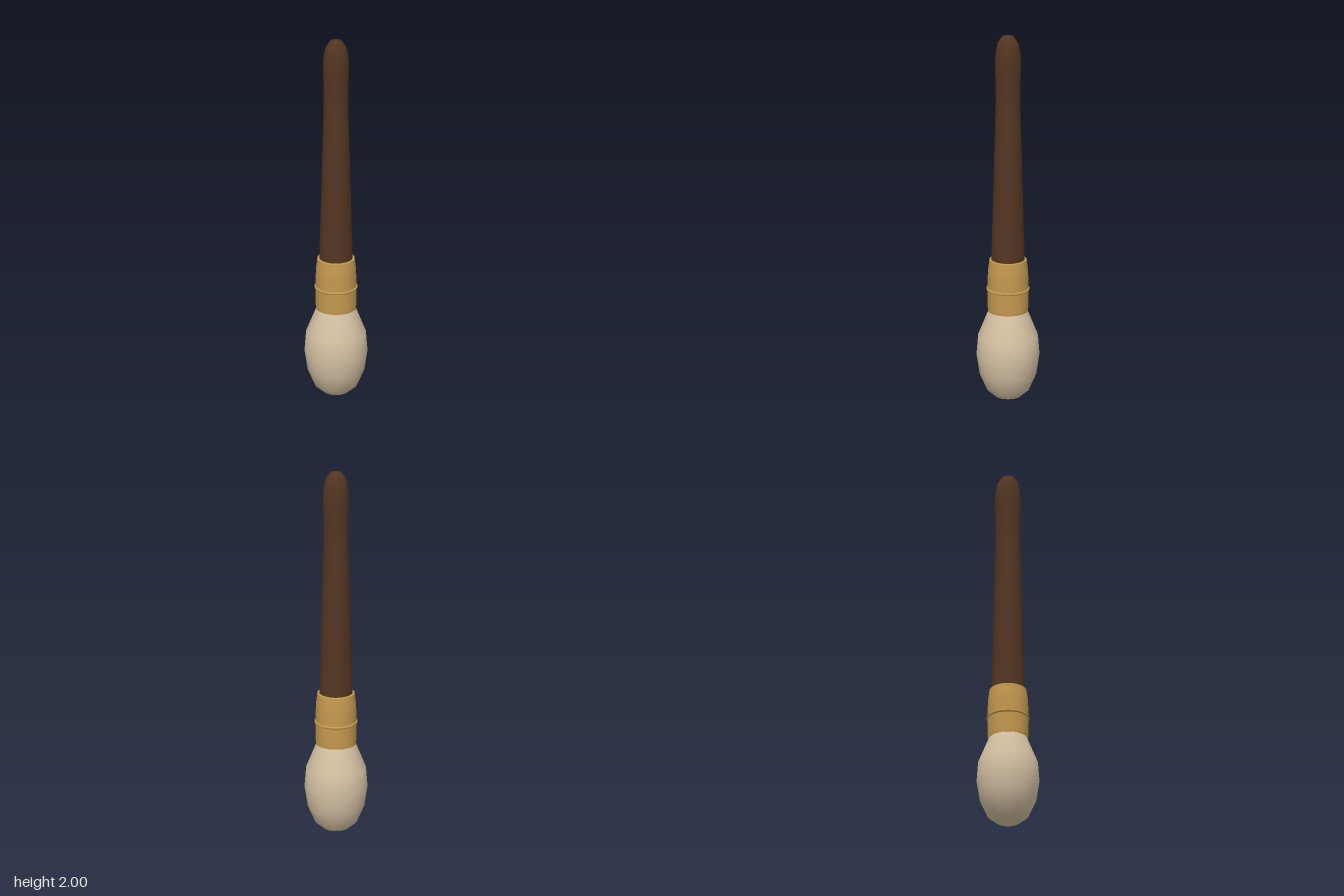
import * as THREE from 'three';

const SEGMENTS = 48;

// Revolves [radius, height] pairs, listed bottom to top, around the y axis
function turned(name, profile, material) {
  const points = profile.map(([r, y]) => new THREE.Vector2(r, y));
  const mesh = new THREE.Mesh(new THREE.LatheGeometry(points, SEGMENTS), material);
  mesh.name = name;
  return mesh;
}

export function createModel() {
  const bristle = new THREE.MeshStandardMaterial({ color: 0xd6c2a4 });
  bristle.name = 'cream bristle';
  const brass = new THREE.MeshStandardMaterial({ color: 0xc3984f });
  brass.name = 'brass';
  const wood = new THREE.MeshStandardMaterial({ color: 0x533522 });
  wood.name = 'dark wood';

  const brush = new THREE.Group();
  brush.name = 'brush';

  // Egg-shaped bristle head, tucked into the ferrule
  brush.add(turned('bristleHead', [
    [0, 0], [0.065, 0.02], [0.11, 0.058], [0.148, 0.145], [0.164, 0.25],
    [0.156, 0.352], [0.103, 0.485], [0.09, 0.53],
  ], bristle));

  // Metal sleeve: straight wall, rounded shoulder
  brush.add(turned('ferrule', [
    [0.104, 0.488], [0.106, 0.51], [0.106, 0.67], [0.103, 0.72], [0.097, 0.768],
  ], brass));

  // Flat rims closing the sleeve at both ends
  brush.add(turned('ferruleBottomRim', [[0.08, 0.488], [0.104, 0.488]], brass));
  brush.add(turned('ferruleTopRim', [[0.097, 0.768], [0.08, 0.772]], brass));

  // Thin bead around the sleeve
  const bead = new THREE.Mesh(new THREE.TorusGeometry(0.106, 0.007, 8, SEGMENTS), brass);
  bead.name = 'ferruleBead';
  bead.rotation.x = Math.PI / 2;
  bead.position.y = 0.608;
  brush.add(bead);

  // Tapered handle swelling slightly below its rounded tip
  brush.add(turned('handle', [
    [0.088, 0.75], [0.086, 0.8], [0.08, 1.03], [0.072, 1.35], [0.064, 1.64],
    [0.064, 1.7], [0.068, 1.83], [0.066, 1.9], [0.054, 1.955], [0.032, 1.988], [0, 2],
  ], wood));

  return brush;
}
